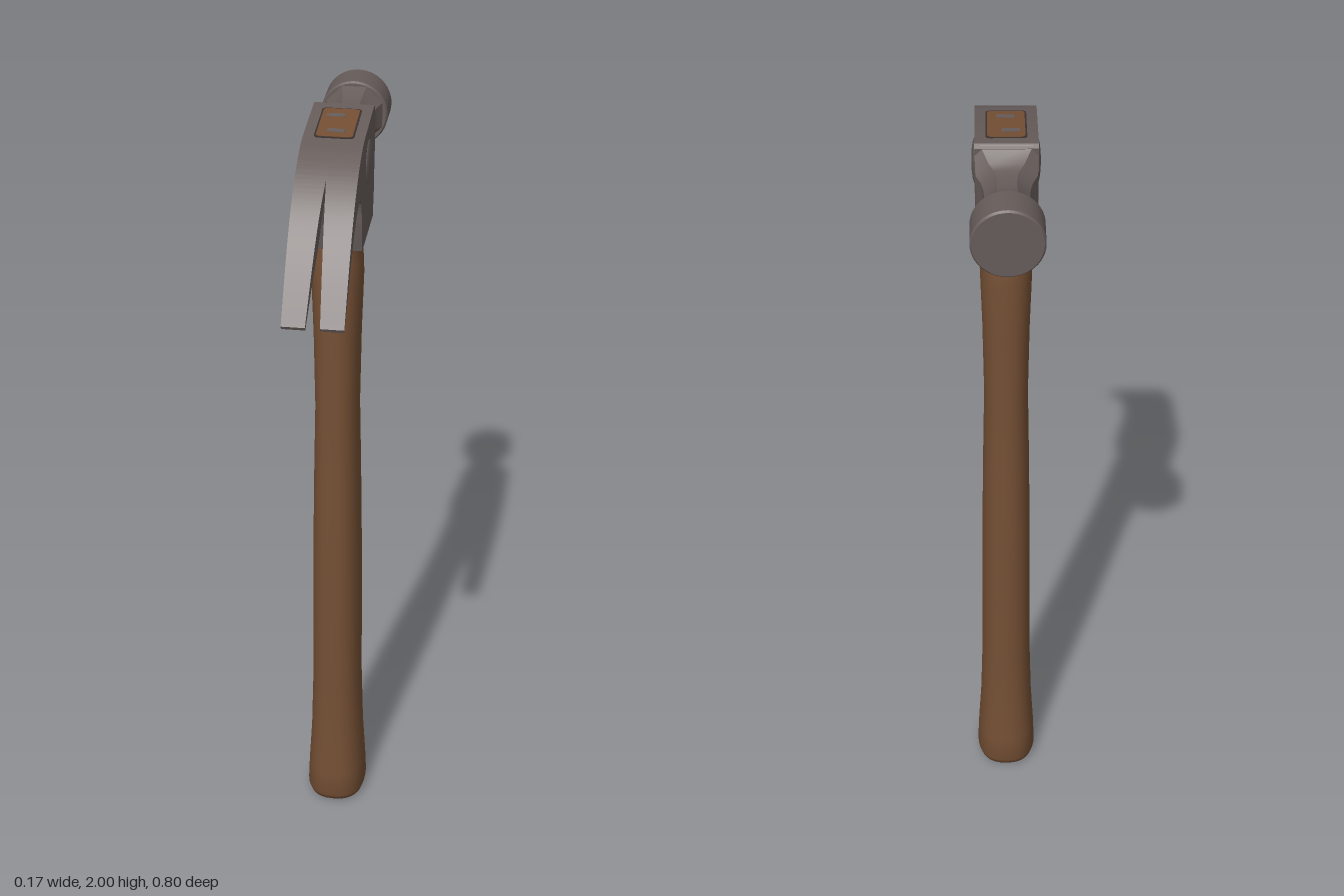
import * as THREE from 'three';
import { mergeVertices, toCreasedNormals } from 'three/addons/utils/BufferGeometryUtils.js';

const steel = new THREE.MeshStandardMaterial({ color: 0x665c5a });
steel.name = 'steel';
const wood = new THREE.MeshStandardMaterial({ color: 0x744f34 });
wood.name = 'wood';
const darkGap = new THREE.MeshStandardMaterial({ color: 0x3a3230 });
darkGap.name = 'darkGap';

function add(parent, name, geometry, material) {
  const mesh = new THREE.Mesh(geometry, material);
  mesh.name = name;
  parent.add(mesh);
  return mesh;
}

// Skin a list of equal-length rings and close both ends
function loft(rings, crease) {
  const n = rings[0].length, pos = [], idx = [];
  rings.forEach(r => r.forEach(p => pos.push(...p)));
  for (let k = 0; k < rings.length - 1; k++) {
    for (let i = 0; i < n; i++) {
      const a = k * n + i, b = k * n + (i + 1) % n;
      idx.push(a, b, b + n, a, b + n, a + n);
    }
  }
  const last = (rings.length - 1) * n;
  for (let i = 1; i < n - 1; i++) {
    idx.push(0, i + 1, i);
    idx.push(last, last + i, last + i + 1);
  }
  const g = new THREE.BufferGeometry();
  g.setAttribute('position', new THREE.Float32BufferAttribute(pos, 3));
  g.setIndex(idx);
  return toCreasedNormals(g, crease);
}

// Handle: rounded-oval sections [y, back z, front z, half width]
function handleGeometry() {
  const sections = [
    [0, -0.095, 0.07, 0.064], [0.008, -0.108, 0.083, 0.075], [0.025, -0.115, 0.09, 0.08],
    [0.1, -0.112, 0.088, 0.077], [0.22, -0.104, 0.081, 0.07], [0.4, -0.103, 0.08, 0.065],
    [0.6, -0.106, 0.081, 0.064], [0.85, -0.105, 0.08, 0.062], [1.05, -0.102, 0.076, 0.059],
    [1.25, -0.098, 0.071, 0.055], [1.45, -0.1, 0.072, 0.058], [1.61, -0.103, 0.074, 0.063],
    [1.66, -0.1, 0.071, 0.061], [1.7, -0.09, 0.064, 0.054], [1.76, -0.08, 0.058, 0.05],
  ];
  const round = v => Math.sign(v) * Math.abs(v) ** 0.82;
  return loft(sections.map(([y, z0, z1, hx]) => Array.from({ length: 32 }, (_, i) => {
    const t = i / 32 * Math.PI * 2;
    return [hx * round(Math.sin(t)), y, (z0 + z1) / 2 + (z1 - z0) / 2 * round(Math.cos(t))];
  })), 0.9);
}

// Half of the head block with one claw, cut from the side outline; the inner face opens into the V slot
function headHalf(side) {
  const s = new THREE.Shape();
  const v = list => list.map(([z, y]) => new THREE.Vector2(-z, y));
  s.moveTo(0.115, 1.72);
  s.lineTo(0.133, 1.79);
  s.lineTo(0.135, 1.992);
  s.lineTo(0.125, 2.0);
  s.lineTo(-0.055, 1.986);
  s.splineThru(v([[0.11, 1.972], [0.18, 1.935], [0.25, 1.876], [0.32, 1.79], [0.4, 1.672]]));
  s.lineTo(-0.396, 1.664);
  s.splineThru(v([[0.33, 1.738], [0.25, 1.818], [0.18, 1.861], [0.14, 1.868], [0.115, 1.857],
    [0.104, 1.83], [0.1, 1.79], [0.088, 1.72]]));
  s.closePath();
  const g = new THREE.ExtrudeGeometry(s, { depth: 1, bevelEnabled: false, curveSegments: 28 });
  g.rotateY(Math.PI / 2);
  const p = g.attributes.position;
  for (let i = 0; i < p.count; i++) {
    const inner = Math.max(0, (p.getZ(i) - 0.18) / 0.22 * 0.017), t = p.getX(i);
    p.setX(i, side > 0 ? THREE.MathUtils.lerp(inner, 0.072, t) : THREE.MathUtils.lerp(-0.072, -inner, t));
  }
  g.deleteAttribute('normal');
  g.deleteAttribute('uv');
  return toCreasedNormals(mergeVertices(g), 0.5);
}

// Neck: eight-sided sections [z, half width, bottom y, top y, corner cut]
function neckGeometry() {
  const sections = [
    [-0.128, 0.072, 1.785, 1.998, 0.012], [-0.158, 0.07, 1.828, 1.967, 0.03],
    [-0.178, 0.058, 1.845, 1.959, 0.03], [-0.2, 0.053, 1.853, 1.956, 0.03],
    [-0.23, 0.051, 1.855, 1.955, 0.029], [-0.258, 0.053, 1.852, 1.957, 0.03],
    [-0.285, 0.06, 1.842, 1.966, 0.034], [-0.315, 0.074, 1.83, 1.978, 0.042],
  ];
  return loft(sections.map(([z, w, b, t, c]) => [
    [-w + c, t, z], [w - c, t, z], [w, t - c, z], [w, b + c, z],
    [w - c, b, z], [-w + c, b, z], [-w, b + c, z], [-w, t - c, z],
  ]), 0.5);
}

export function createModel() {
  const model = new THREE.Group();
  model.name = 'clawHammer';
  add(model, 'handle', handleGeometry(), wood);

  const head = new THREE.Group();
  head.name = 'head';
  model.add(head);
  for (const side of [1, -1]) {
    const label = side > 0 ? 'left' : 'right';
    add(head, label + 'HeadHalfAndClaw', headHalf(side), steel);
    // Slight swelling of the cheek beside the eye
    const cheek = add(head, label + 'Cheek', new THREE.SphereGeometry(1, 24, 16), steel);
    cheek.scale.set(0.009, 0.055, 0.05);
    cheek.position.set(side * 0.071, 1.9, -0.017);
  }
  add(head, 'neck', neckGeometry(), steel);

  // Striking face with softened rims
  const profile = [[0, 0], [0.079, 0], [0.083, 0.005], [0.083, 0.088], [0.079, 0.093], [0, 0.093]]
    .map(([r, h]) => new THREE.Vector2(r, h));
  const poll = add(head, 'strikingFace',
    toCreasedNormals(new THREE.LatheGeometry(profile, 48), 0.5), steel);
  poll.rotation.x = -Math.PI / 2;
  poll.position.set(0, 1.903, -0.307);

  // Handle end showing in the eye, with two wedges
  const eye = new THREE.Group();
  eye.name = 'eye';
  eye.position.set(0, 1.9918, -0.019);
  eye.rotation.x = 0.077;
  head.add(eye);
  const plate = (name, w, d, y, mat) => {
    const r = 0.01, s = new THREE.Shape();
    s.absarc(w / 2 - r, d / 2 - r, r, 0, Math.PI / 2);
    s.absarc(-w / 2 + r, d / 2 - r, r, Math.PI / 2, Math.PI);
    s.absarc(-w / 2 + r, -d / 2 + r, r, Math.PI, Math.PI * 1.5);
    s.absarc(w / 2 - r, -d / 2 + r, r, Math.PI * 1.5, Math.PI * 2);
    const g = new THREE.ExtrudeGeometry(s, { depth: 0.003, bevelEnabled: false, curveSegments: 4 });
    g.rotateX(-Math.PI / 2);
    add(eye, name, g, mat).position.y = y;
  };
  plate('eyeRim', 0.094, 0.154, -0.0015, darkGap);
  plate('handleEnd', 0.086, 0.146, -0.0005, wood);
  for (const [x, z, turn] of [[-0.01, -0.037, 0.05], [0.001, 0.042, -0.13]]) {
    const wedge = add(eye, 'wedge', new THREE.BoxGeometry(0.042, 0.004, 0.017), steel);
    wedge.position.set(x, 0.0015, z);
    wedge.rotation.y = turn;
  }
  return model;
}
